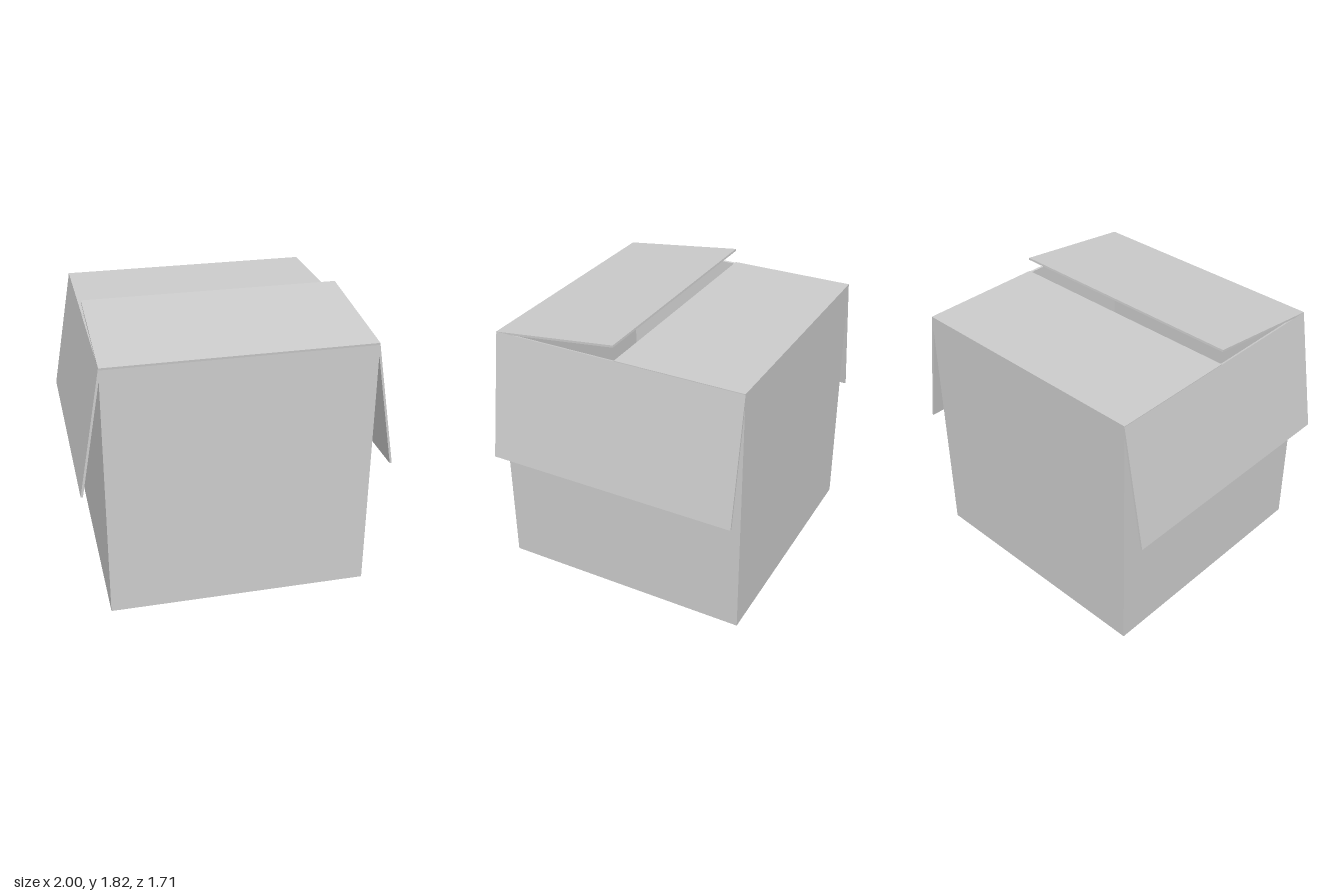
import * as THREE from 'three';

const W = 1.706, H = 1.712, T = 0.014;
const half = W / 2;

export function createModel() {
  const model = new THREE.Group();
  model.name = 'cardboardBox';
  const material = new THREE.MeshStandardMaterial({ color: 0xcccccc, flatShading: true });

  function panel(name, w, h, d, x, y, z, parent = model) {
    const mesh = new THREE.Mesh(new THREE.BoxGeometry(w, h, d), material);
    mesh.name = name;
    mesh.position.set(x, y, z);
    parent.add(mesh);
  }

  // Hollow body: bottom and four walls
  panel('bottom', W, T, W, 0, T / 2, 0);
  for (const [side, s] of [['front', 1], ['back', -1]])
    panel(side + 'Wall', W, H - T, T, 0, (H + T) / 2, s * (half - T / 2));
  for (const [side, s] of [['left', 1], ['right', -1]])
    panel(side + 'Wall', T, H - T, W - 2 * T, s * (half - T / 2), (H + T) / 2, 0);

  // Lid flaps: each swings about its wall's top edge; pitch 0 points straight out
  function flap(name, yaw, pitch, hingeY, length) {
    const side = new THREE.Group();
    side.name = name;
    side.rotation.y = yaw;
    const hinge = new THREE.Group();
    hinge.name = name + 'Hinge';
    hinge.position.set(0, hingeY, half);
    hinge.rotation.x = THREE.MathUtils.degToRad(pitch);
    panel(name + 'Panel', W, T, length, 0, -T / 2, length / 2, hinge);
    side.add(hinge);
    model.add(side);
  }
  flap('frontFlap', 0, -173, 1.701, 0.858); // half open
  flap('backFlap', Math.PI, -180, 1.706, half); // lying closed
  flap('leftFlap', Math.PI / 2, 80.2, 1.715, 0.86); // hanging outside
  flap('rightFlap', -Math.PI / 2, 80, 1.715, 0.85); // hanging outside

  return model;
}
